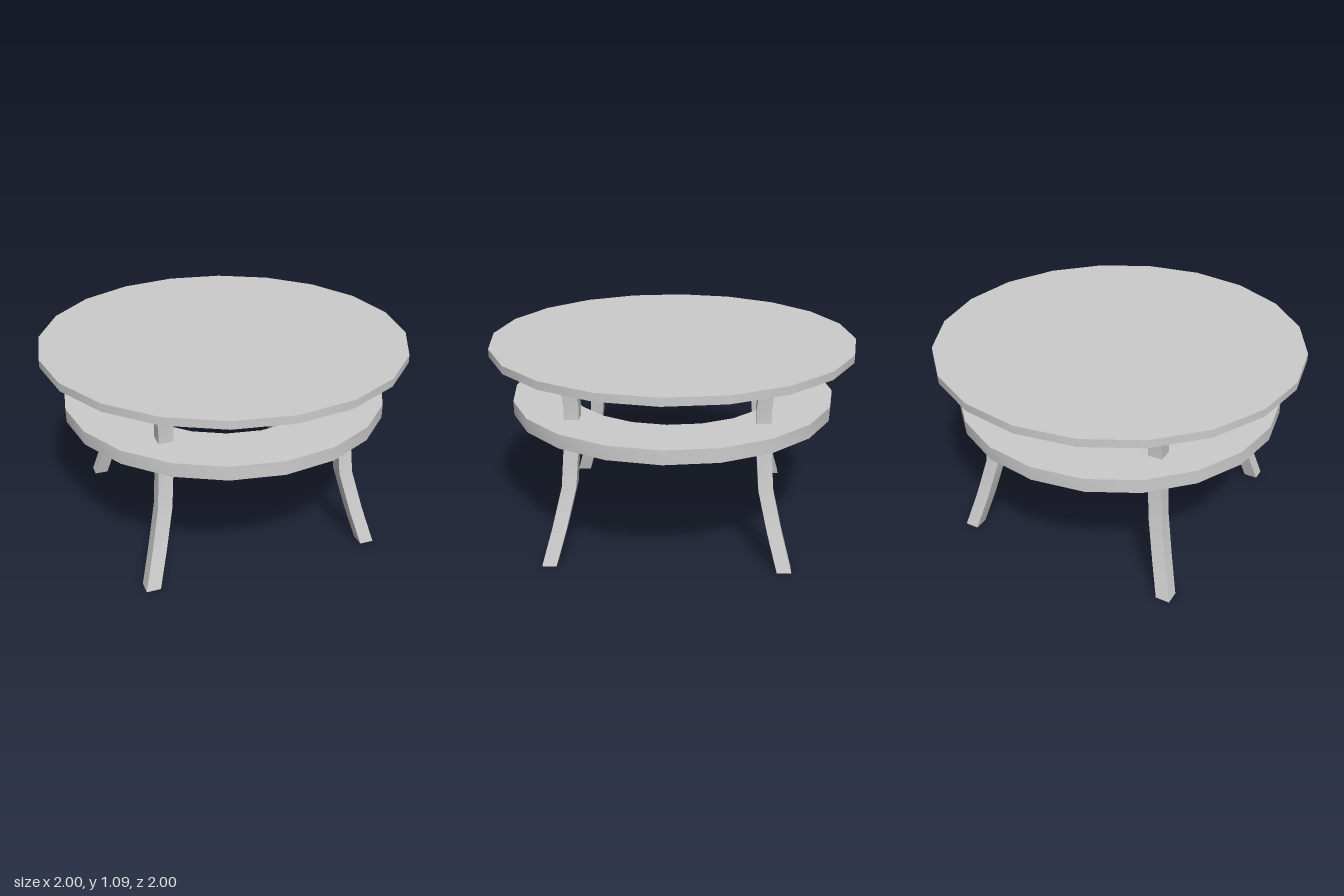
import * as THREE from 'three';
import { toCreasedNormals } from 'three/addons/utils/BufferGeometryUtils.js';

const SIDES = 20;
const LEG_WIDTH = 0.077;

// Centre line of a leg: [distance from the middle along x and z, height]
const LEG_PATH = [
  [0.62, 0], [0.565, 0.2], [0.513, 0.42], [0.491, 0.7], [0.488, 0.86], [0.508, 1.05],
];

// Square post whose rows are shifted outward to follow the curve
function legGeometry(sx, sz) {
  const rows = LEG_PATH.length - 1;
  const geometry = new THREE.BoxGeometry(LEG_WIDTH, 1, LEG_WIDTH, 1, rows, 1);
  const p = geometry.attributes.position;
  for (let i = 0; i < p.count; i++) {
    const [out, y] = LEG_PATH[Math.round((p.getY(i) + 0.5) * rows)];
    p.setXYZ(i, p.getX(i) + sx * out, y, p.getZ(i) + sz * out);
  }
  geometry.computeVertexNormals();
  return geometry;
}

// Flat ring with a rectangular section
function ringGeometry(inner, outer, bottom, top) {
  const profile = [[outer, bottom], [outer, top], [inner, top], [inner, bottom], [outer, bottom]]
    .map(([r, y]) => new THREE.Vector2(r, y));
  return toCreasedNormals(new THREE.LatheGeometry(profile, SIDES), 0.5);
}

export function createModel() {
  const group = new THREE.Group();
  group.name = 'roundTable';
  const material = new THREE.MeshStandardMaterial({ color: 0xcccccc });

  const add = (name, geometry) => {
    const mesh = new THREE.Mesh(geometry, material);
    mesh.name = name;
    group.add(mesh);
    return mesh;
  };

  // Table top
  add('tableTop', new THREE.CylinderGeometry(1, 1, 0.043, SIDES)).position.y = 1.0685;

  // Open ring shelf held by the legs
  add('ringShelf', ringGeometry(0.567, 0.89, 0.712, 0.788));

  // Four splayed legs on the diagonals
  for (const [sz, end] of [[1, 'front'], [-1, 'back']]) {
    for (const [sx, side] of [[1, 'Left'], [-1, 'Right']]) {
      add(`${end}${side}Leg`, legGeometry(sx, sz));
    }
  }
  return group;
}
